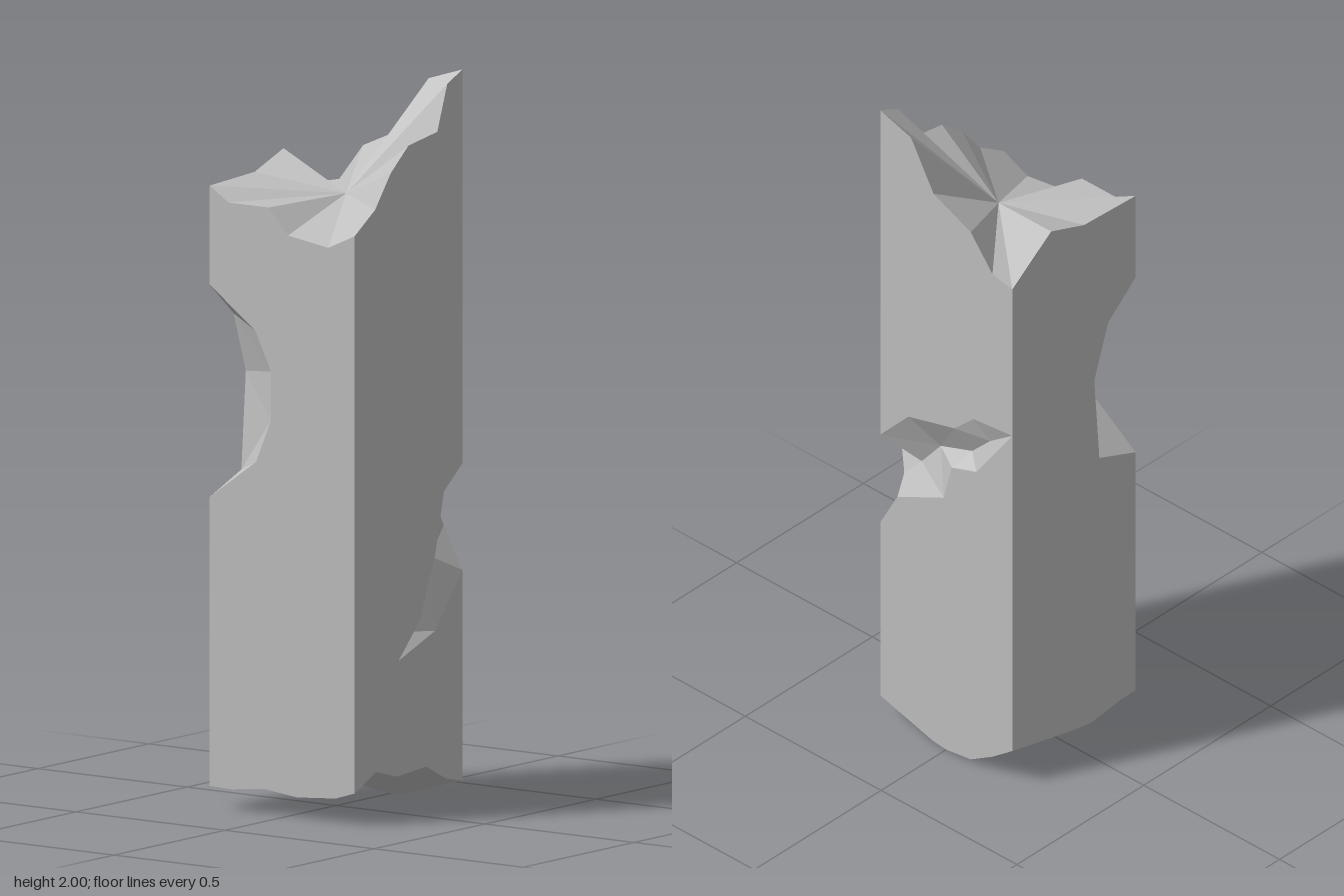
import * as THREE from 'three';

const H = 0.243; // half width of the square pillar

// Point on a side: u runs left to right as seen from outside (0 front, 1 right, 2 back, 3 left)
function at(side, [u, y]) {
  const [x, z] = [[u, H], [H, -u], [-u, -H], [-H, u]][side];
  return new THREE.Vector3(x, y, z);
}
const on = (side, pts) => pts.map((p) => at(side, p));

function meshOf(name, points, material) {
  const g = new THREE.BufferGeometry().setFromPoints(points);
  g.computeVertexNormals();
  const mesh = new THREE.Mesh(g, material);
  mesh.name = name;
  return mesh;
}

// Flat outline on one side, turned outwards
function wall(side, outline) {
  const c = outline.map((p) => new THREE.Vector2(...p));
  return THREE.ShapeUtils.triangulateShape(c, []).flatMap(([a, b, d]) => {
    const turn = c[b].clone().sub(c[a]).cross(c[d].clone().sub(c[a]));
    return on(side, (turn > 0 ? [a, b, d] : [a, d, b]).map((i) => outline[i]));
  });
}

// Facets between two lines that run the same way, always taking the shorter diagonal
function stitch(left, right) {
  const out = [];
  let i = 0, j = 0;
  while (i < left.length - 1 || j < right.length - 1) {
    const canL = i < left.length - 1, canR = j < right.length - 1;
    const goLeft = canL && (!canR ||
      left[i + 1].distanceTo(right[j]) < left[i].distanceTo(right[j + 1]));
    const next = goLeft ? left[++i] : right[++j];
    out.push(goLeft ? left[i - 1] : left[i], goLeft ? right[j] : right[j - 1], next);
  }
  return out;
}

// Fan from a centre to a closed rim
function fan(centre, rim, up) {
  return rim.flatMap((p, i) => {
    const q = rim[(i + 1) % rim.length];
    return up ? [centre, p, q] : [centre, q, p];
  });
}

export function createModel() {
  const group = new THREE.Group();
  const stone = new THREE.MeshStandardMaterial({ color: 0xbfbfbf });
  stone.name = 'stone grey';

  // Broken rims, one list per side
  const top = [
    [[-H, 1.61], [-0.15, 1.67], [-0.08, 1.76], [0, 1.825], [0.13, 1.845], [0.175, 1.97]],
    [[-H, 2], [-0.13, 1.965], [-0.047, 1.82], [0.09, 1.76], [0.17, 1.66]],
    [[-H, 1.645], [-0.09, 1.757], [0.04, 1.71]],
    [[-H, 1.7], [-0.18, 1.66], [-0.045, 1.66], [0.02, 1.59], [0.155, 1.57]],
  ];
  const base = [
    [[-H, 0.09], [-0.145, 0.135], [-0.05, 0.11], [0.08, 0.12], [0.17, 0.075]],
    [[-H, 0.06], [-0.05, 0.005], [0, 0], [0.09, 0.012], [0.17, 0.06]],
    [[-H, 0.115], [-0.157, 0.094], [-0.014, 0.06], [0.07, 0.045], [0.18, 0.06]],
    [[-H, 0.062], [-0.17, 0.06], [-0.06, 0.072], [0.05, 0.06], [0.18, 0.07]],
  ];
  const full = (rims, s) => [...rims[s], [H, rims[(s + 1) % 4][0][1]]];
  const topBack = (s) => full(top, s).reverse();

  // Long chip around the front right edge
  const tipEnd = [H, 1.16];
  const frontUpper = [[-0.045, 0.425], [0.05, 0.52], [0.12, 0.69], [0.16, 0.86], [H, 0.925]];
  const frontLower = [[-0.045, 0.425], [0.12, 0.485], [H, 0.635]];
  const rightUpper = [[-H, 0.925], [-0.14, 1.035], [0.03, 1.08], [0.1, 1.145], tipEnd];
  const rightLower = [[-H, 0.635], [-0.18, 0.75], [-0.01, 0.83], [0.02, 0.945], [0.11, 0.975], tipEnd];

  // Chip on the back left edge
  const cornerBack = [[H, 0.85], [0.1, 0.906], [0.08, 1.173], [0.135, 1.337], [H, 1.43]];
  const cornerLeft = [[-H, 0.85], [-0.087, 0.962], [-0.037, 1.08], [-0.037, 1.213],
    [-0.09, 1.32], [-H, 1.43]];

  // Side walls with the chips left out
  const walls = {
    frontWall: wall(0, [...full(base, 0), ...[...frontLower].reverse(),
      ...frontUpper.slice(1), ...topBack(0)]),
    rightWall: [
      ...wall(1, [...full(base, 1), ...[...rightLower].reverse()]),
      ...wall(1, [...rightUpper, ...topBack(1)]),
    ],
    backWall: wall(2, [...full(base, 2), ...cornerBack, ...topBack(2)]),
    leftWall: wall(3, [...full(base, 3), ...topBack(3), ...[...cornerLeft].reverse()]),
  };
  for (const [name, points] of Object.entries(walls)) group.add(meshOf(name, points, stone));

  // Jagged ends
  const ring = (rims) => rims.flatMap((r, s) => on(s, r));
  group.add(meshOf('brokenTop', fan(new THREE.Vector3(0.005, 1.673, 0.03), ring(top), true), stone));
  group.add(meshOf('brokenBase', fan(new THREE.Vector3(0, 0.1, -0.02), ring(base), false), stone));

  // Hollow of the long chip: upper line, groove, lower line
  const upper = [...on(0, frontUpper), ...on(1, rightUpper).slice(1)];
  const lower = [...on(0, frontLower), ...on(1, rightLower).slice(1)];
  const groove = [upper[0],
    ...[[0.05, 0.49, 0.22], [0.15, 0.68, 0.205], [0.2, 0.8, 0.195], [0.19, 0.86, 0.14],
      [0.19, 0.945, 0.07], [0.205, 1.0, -0.06], [0.22, 1.08, -0.14]]
      .map((p) => new THREE.Vector3(...p)),
    upper.at(-1)];
  group.add(meshOf('longChip', [...stitch(upper, groove), ...stitch(groove, lower)], stone));

  // Hollow of the corner chip
  group.add(meshOf('cornerChip', stitch(on(2, cornerBack), on(3, cornerLeft)), stone));

  return group;
}
